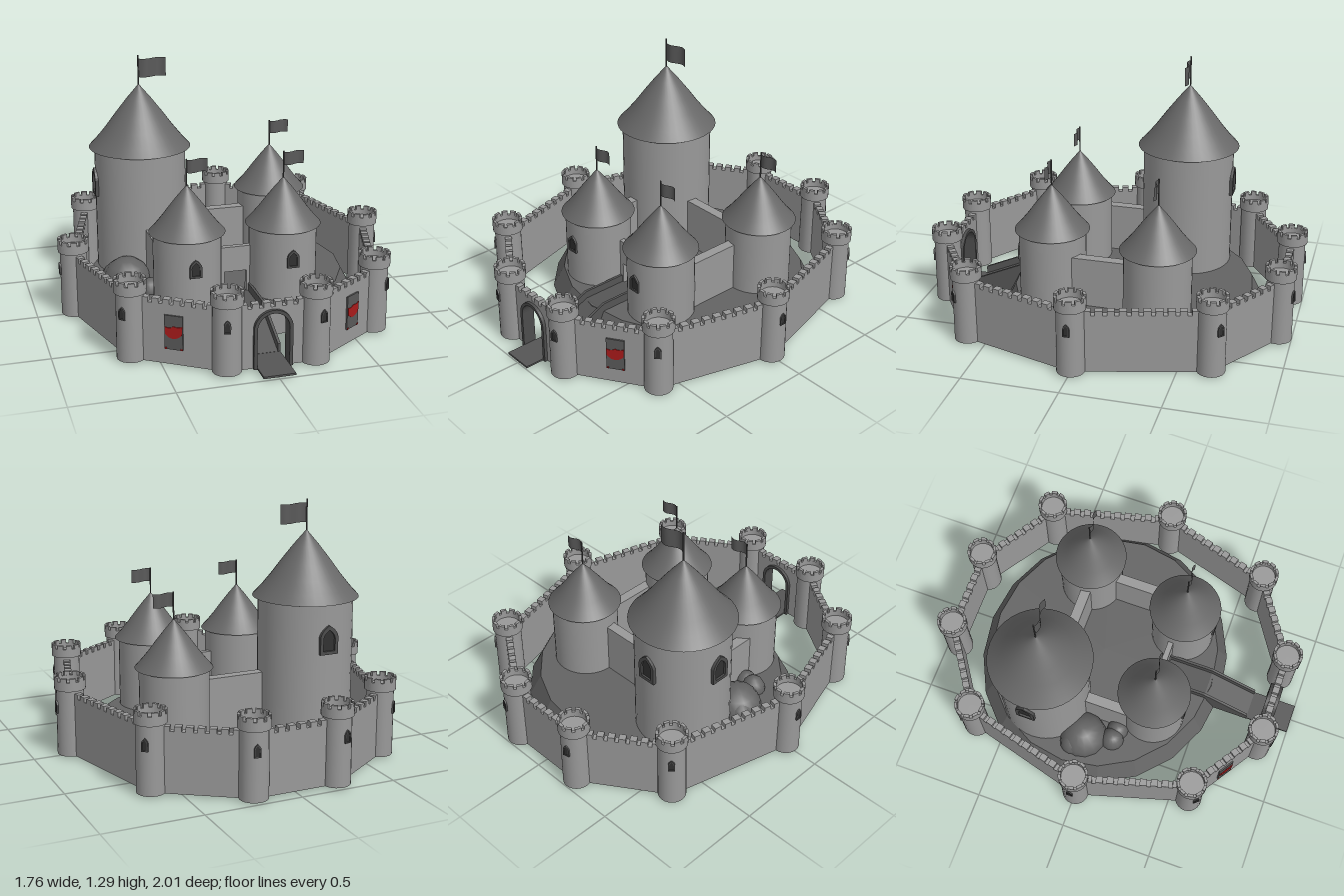
import * as THREE from 'three';

const mat = (name, color, side = THREE.FrontSide) => {
  const m = new THREE.MeshStandardMaterial({ color, side });
  m.name = name;
  return m;
};

export function createModel() {
  const stone = mat('stone', 0x999999);
  const roofGrey = mat('roof slate', 0x686868);
  const ground = mat('ground', 0x636363);
  const timber = mat('timber', 0x555555);
  const trim = mat('dark trim', 0x4c4c4c);
  const glass = mat('window dark', 0x303030);
  const cloth = mat('cloth', 0x595959, THREE.DoubleSide);
  const red = mat('emblem red', 0xa81a1a);

  const root = new THREE.Group();
  root.name = 'castle';
  const add = (parent, name, geo, material, x = 0, y = 0, z = 0) => {
    const m = new THREE.Mesh(geo, material);
    m.name = name;
    m.position.set(x, y, z);
    parent.add(m);
    return m;
  };
  const group = (parent, name, x = 0, y = 0, z = 0, ry = 0) => {
    const g = new THREE.Group();
    g.name = name;
    g.position.set(x, y, z);
    g.rotation.y = ry;
    parent.add(g);
    return g;
  };
  const box = (parent, name, m, w, h, d, x, y, z) =>
    add(parent, name, new THREE.BoxGeometry(w, h, d), m, x, y, z);
  const extrude = (shape, depth, curveSegments = 10) =>
    new THREE.ExtrudeGeometry(shape, { depth, bevelEnabled: false, curveSegments });

  // Pointed arch outline, centred on x, standing on y = y0
  const pointed = (w, h, y0, Type = THREE.Shape) => {
    const s = new Type();
    s.moveTo(-w / 2, y0);
    s.lineTo(w / 2, y0);
    s.lineTo(w / 2, y0 + h * 0.6);
    s.quadraticCurveTo(w * 0.45, y0 + h * 0.82, 0, y0 + h);
    s.quadraticCurveTo(-w * 0.45, y0 + h * 0.82, -w / 2, y0 + h * 0.6);
    s.closePath();
    return s;
  };

  // Framed window on a round wall of radius r, facing direction a
  const addWindow = (parent, r, a, y, w, h) => {
    const g = group(parent, 'window', 0, y, 0, a);
    const t = w * 0.17;
    const frame = pointed(w, h, -h / 2);
    frame.holes.push(pointed(w - 2 * t, h - 2.4 * t, -h / 2 + t, THREE.Path));
    add(g, 'windowFrame', extrude(frame, 0.012 + w * 0.12, 5), trim, 0, 0, r - 0.01);
    add(g, 'windowPane', extrude(pointed(w - t, h - t, -h / 2 + t / 2), 0.009, 5), glass, 0, 0, r - 0.006);
  };

  // Mound
  const mound = add(root, 'mound', new THREE.CylinderGeometry(0.685, 0.75, 0.12, 20).toNonIndexed(), ground, 0, 0.062, -0.12);
  mound.scale.z = 0.93;
  mound.geometry.computeVertexNormals();

  // Rocks beside the great tower
  for (const [x, z, r, h] of [[-0.51, -0.06, 0.13, 0.13], [-0.48, 0.1, 0.065, 0.08], [-0.42, 0.11, 0.06, 0.07], [-0.57, -0.1, 0.07, 0.09]]) {
    add(root, 'rock', new THREE.SphereGeometry(r, 14, 8), ground, x, 0.12, z).scale.y = h / r;
  }

  // Ring sector lying flat, extruded upwards
  const ringPart = (ri, ro, a0, a1, h) => {
    const s = new THREE.Shape();
    s.absarc(0, 0, ro, a0, a1, false);
    s.absarc(0, 0, ri, a1, a0, true);
    s.closePath();
    return extrude(s, h, 4).rotateX(-Math.PI / 2);
  };

  // Outer ring of towers
  const half = [[0.22, 0.865], [0.625, 0.6], [0.8, 0], [0.625, -0.66], [0.22, -0.93]];
  const posts = [...half, ...half.map(([x, z]) => [-x, z]).reverse()];
  for (const [x, z] of posts) {
    const g = group(root, 'wallTower', x, 0, z);
    add(g, 'towerBody', new THREE.CylinderGeometry(0.07, 0.072, 0.35, 24), stone, 0, 0.175);
    add(g, 'towerCrown', new THREE.CylinderGeometry(0.08, 0.08, 0.02, 24), stone, 0, 0.355);
    const rim = new THREE.Shape().absarc(0, 0, 0.08, 0, Math.PI * 2);
    rim.holes.push(new THREE.Path().absarc(0, 0, 0.065, 0, Math.PI * 2, true));
    add(g, 'parapet', extrude(rim, 0.027, 24).rotateX(-Math.PI / 2), stone, 0, 0.365);
    for (let i = 0; i < 10; i++) {
      const a = (i / 10) * Math.PI * 2;
      add(g, 'merlon', ringPart(0.065, 0.08, a, a + 0.42, 0.02), stone, 0, 0.392);
    }
    addWindow(g, 0.071, Math.atan2(x, z), 0.255, 0.034, 0.066);
  }

  // Battlemented wall panel of length L, optionally with a gate arch
  const wallShape = (L, gate) => {
    const s = new THREE.Shape();
    s.moveTo(-L / 2, 0);
    if (gate) {
      s.lineTo(-0.085, 0);
      s.lineTo(-0.085, 0.2);
      s.absarc(0, 0.2, 0.085, Math.PI, 0, true);
      s.lineTo(0.085, 0);
    }
    s.lineTo(L / 2, 0);
    const n = Math.round(L / 0.058);
    const p = L / n;
    for (let i = 0; i < n; i++) {
      const x = L / 2 - i * p;
      s.lineTo(x, 0.308);
      s.lineTo(x - p * 0.18, 0.308);
      s.lineTo(x - p * 0.18, 0.332);
      s.lineTo(x - p * 0.82, 0.332);
      s.lineTo(x - p * 0.82, 0.308);
    }
    s.lineTo(-L / 2, 0.308);
    s.closePath();
    return s;
  };

  // Hanging banner with a red patch
  const addBanner = (wall, x) => {
    const g = group(wall, 'banner', x, 0.168, 0.018);
    box(g, 'bannerCloth', cloth, 0.092, 0.175, 0.008, 0, 0, 0.004);
    const s = new THREE.Shape();
    s.moveTo(-0.045, 0.025);
    s.quadraticCurveTo(-0.02, 0.012, 0, 0.03);
    s.quadraticCurveTo(0.025, 0.02, 0.045, 0.034);
    s.lineTo(0.042, -0.012);
    s.quadraticCurveTo(0.01, -0.045, -0.022, -0.03);
    s.lineTo(-0.042, -0.014);
    s.closePath();
    add(g, 'emblem', extrude(s, 0.003), red, 0, 0.005, 0.008);
    for (const k of [-1, 1]) box(g, 'bannerTip', red, 0.012, 0.008, 0.003, k * 0.04, -0.083, 0.009);
  };

  posts.forEach(([ax, az], i) => {
    const [bx, bz] = posts[(i + 1) % posts.length];
    const gate = i === posts.length - 1;
    const L = Math.hypot(bx - ax, bz - az) - 0.1;
    // turned so that local +z faces out of the castle
    const g = group(root, gate ? 'gateWall' : 'curtainWall', (ax + bx) / 2, 0, (az + bz) / 2, Math.atan2(az - bz, bx - ax));
    add(g, 'wallPanel', extrude(wallShape(L, gate), 0.036), stone, 0, 0, -0.018);
    if (i === 0 || i === posts.length - 2) addBanner(g, i ? -0.015 : 0.03);
  });

  // Gate frame
  const arch = new THREE.Shape();
  arch.moveTo(0.097, 0);
  arch.lineTo(0.097, 0.2);
  arch.absarc(0, 0.2, 0.097, 0, Math.PI, false);
  arch.lineTo(-0.097, 0);
  arch.lineTo(-0.08, 0);
  arch.lineTo(-0.08, 0.2);
  arch.absarc(0, 0.2, 0.08, Math.PI, 0, true);
  arch.lineTo(0.08, 0);
  arch.closePath();
  add(root, 'gateFrame', extrude(arch, 0.07), trim, 0, 0, 0.83);

  // Drawbridge and ramp with side rails
  box(root, 'drawbridge', timber, 0.16, 0.01, 0.25, 0, 0.005, 0.875);
  const slope = (lift) => {
    const s = new THREE.Shape();
    s.moveTo(-0.76, 0);
    s.lineTo(-0.25, 0);
    s.lineTo(-0.25, 0.125 + lift);
    s.lineTo(-0.5, 0.125 + lift);
    s.lineTo(-0.76, 0.01 + lift);
    s.closePath();
    return s;
  };
  const addSlope = (name, lift, w, x) =>
    add(root, name, extrude(slope(lift), w).rotateY(Math.PI / 2), timber, x - w / 2, 0.001, 0);
  addSlope('ramp', 0, 0.14, 0);
  for (const k of [-1, 1]) addSlope('rampRail', 0.04, 0.014, k * 0.075);

  // Inner courtyard walls, with a doorway at the front
  box(root, 'backInnerWall', stone, 0.5, 0.4, 0.055, 0, 0.2, -0.3);
  box(root, 'leftInnerWall', stone, 0.055, 0.385, 0.45, 0.335, 0.193, -0.03);
  box(root, 'rightInnerWall', stone, 0.055, 0.385, 0.45, -0.37, 0.193, -0.03);
  const front = new THREE.Shape();
  [[-0.15, 0], [-0.06, 0], [-0.06, 0.24], [0.06, 0.24], [0.06, 0], [0.15, 0], [0.15, 0.375], [-0.15, 0.375]]
    .forEach(([x, y], i) => (i ? front.lineTo(x, y) : front.moveTo(x, y)));
  add(root, 'frontInnerWall', extrude(front, 0.03), stone, 0, 0, 0.225);

  // Inner towers with flared roofs, poles and waving flags
  const addKeep = (name, x, z, r, roofR, eave, apex, pole, fw, fh) => {
    const g = group(root, name, x, 0, z);
    const H = apex - eave;
    add(g, 'keepBody', new THREE.CylinderGeometry(r, r, eave + 0.01, 40), stone, 0, (eave + 0.01) / 2);
    const profile = [[0, 0.005], [1, 0], [0.84, 0.14], [0.66, 0.32], [0.47, 0.53], [0.24, 0.77], [0, 1]];
    const pts = profile.map(([a, b]) => new THREE.Vector2(a * roofR, b * H));
    add(g, 'roofUnderside', new THREE.LatheGeometry(pts.slice(0, 2), 40), roofGrey, 0, eave);
    add(g, 'roof', new THREE.LatheGeometry(pts.slice(1), 40), roofGrey, 0, eave);
    add(g, 'flagPole', new THREE.CylinderGeometry(0.004, 0.004, pole - apex + 0.02, 8), trim, 0, (pole + apex - 0.02) / 2);
    const flag = new THREE.PlaneGeometry(fw, fh, 14, 1).translate(fw / 2, 0, 0);
    const p = flag.attributes.position;
    for (let i = 0; i < p.count; i++) p.setZ(i, Math.sin((p.getX(i) / fw) * Math.PI * 2) * fw * 0.09);
    flag.computeVertexNormals();
    add(g, 'flag', flag, cloth, 0, pole - fh / 2 - (fh > 0.08 ? 0.02 : 0.004));
    return g;
  };
  const great = addKeep('greatTower', -0.37, -0.325, 0.245, 0.273, 0.785, 1.125, 1.28, 0.15, 0.1);
  addWindow(great, 0.243, -Math.PI / 2, 0.605, 0.1, 0.15);
  addWindow(great, 0.243, Math.PI, 0.605, 0.1, 0.15);
  for (const [name, x, z] of [['frontRightTower', -0.258, 0.26], ['frontLeftTower', 0.252, 0.26], ['backLeftTower', 0.365, -0.328]]) {
    const g = addKeep(name, x, z, 0.175, 0.195, 0.49, 0.735, 0.87, 0.108, 0.07);
    if (z > 0) addWindow(g, 0.174, 0, 0.35, 0.062, 0.095);
  }

  return root;
}
